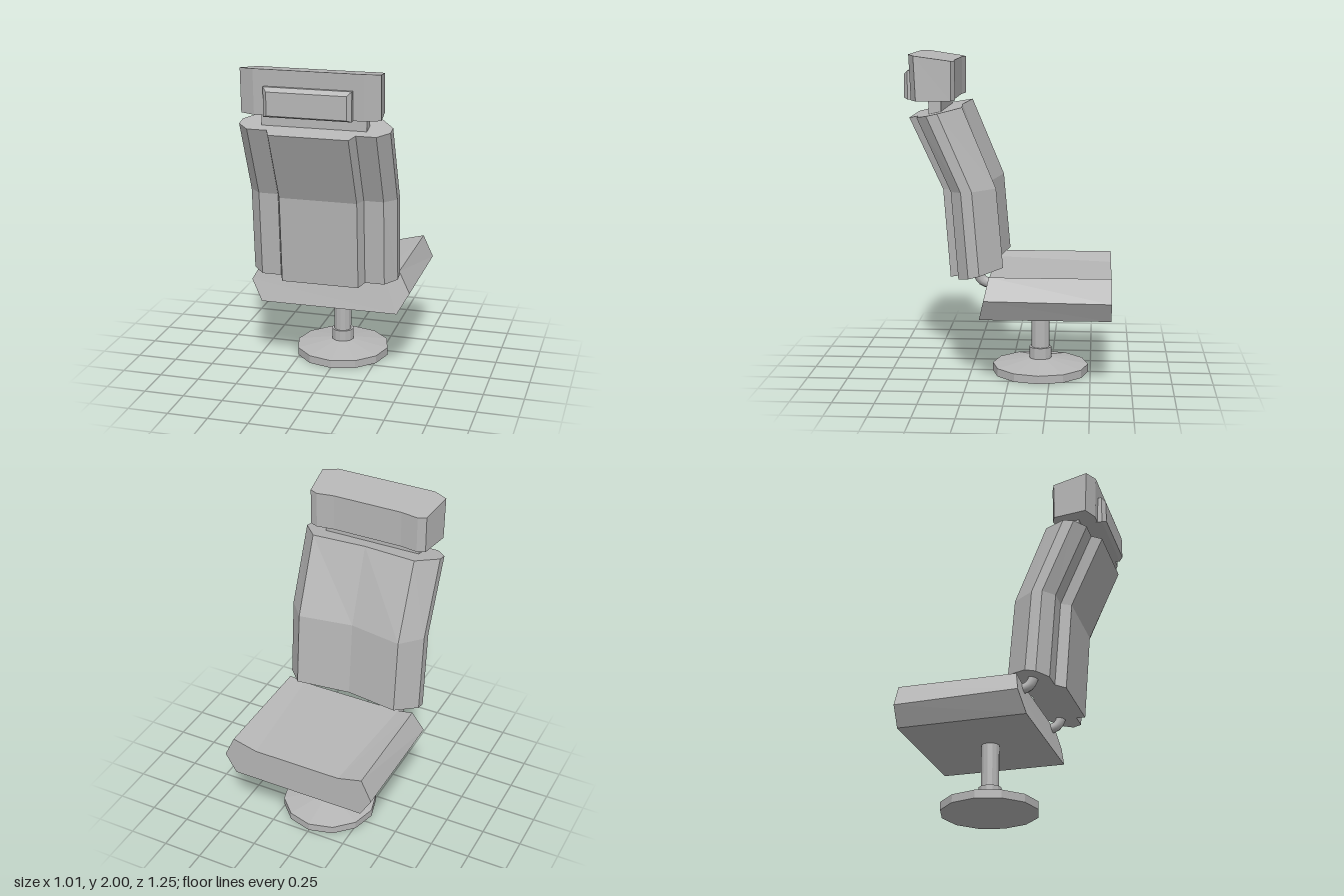
import * as THREE from 'three';

const grey = new THREE.MeshStandardMaterial({ color: 0xb6b6b6 });
grey.name = 'grey';

// Flat-faced solid through closed rings of [x, y, z]; caps are triangulated in the plane of axes a and b
function loft(rings, a, b) {
  const tris = [];
  const n = rings[0].length;
  for (let r = 0; r + 1 < rings.length; r++) {
    for (let i = 0; i < n; i++) {
      const j = (i + 1) % n;
      const p = rings[r][i], q = rings[r][j], s = rings[r + 1][j], t = rings[r + 1][i];
      tris.push([p, q, s], [p, s, t]);
    }
  }
  const first = rings[0], last = rings[rings.length - 1];
  const flat = first.map((p) => new THREE.Vector2(p[a], p[b]));
  const ccw = THREE.ShapeUtils.area(flat) > 0;
  for (const f of THREE.ShapeUtils.triangulateShape(flat, [])) {
    const [i, j, k] = f;
    // Cap winding follows the ring direction
    const turn = THREE.ShapeUtils.area([flat[i], flat[j], flat[k]]) > 0;
    const [u, v] = turn === ccw ? [j, k] : [k, j];
    tris.push([first[i], first[v], first[u]], [last[i], last[u], last[v]]);
  }
  // Turn the solid outward if its volume is negative
  let volume = 0;
  for (const [p, q, s] of tris) {
    volume += new THREE.Vector3(...p).dot(new THREE.Vector3(...q).cross(new THREE.Vector3(...s)));
  }
  const out = volume < 0 ? tris.map(([p, q, s]) => [p, s, q]) : tris;
  const geo = new THREE.BufferGeometry();
  geo.setAttribute('position', new THREE.Float32BufferAttribute(out.flat(2), 3));
  geo.computeVertexNormals();
  return geo;
}

function faceted(geo) {
  const g = geo.toNonIndexed();
  g.computeVertexNormals();
  return g;
}

// Half outline mirrored in x to a closed ring; points on x = 0 are kept once
function mirrored(half) {
  const other = half.filter((p) => p[0] !== 0).reverse().map(([x, ...rest]) => [-x, ...rest]);
  return [...half, ...other];
}

export function createModel() {
  const chair = new THREE.Group();
  chair.name = 'chair';
  const add = (name, geo, x = 0, y = 0, z = 0) => {
    const m = new THREE.Mesh(geo, grey);
    m.name = name;
    m.position.set(x, y, z);
    chair.add(m);
    return m;
  };

  // Round foot and column: [name, top radius, bottom radius, bottom y, top y]
  const stack = [
    ['footRim', 0.3, 0.3, 0, 0.05],
    ['footCone', 0.07, 0.3, 0.05, 0.09],
    ['collar', 0.07, 0.07, 0.08, 0.16],
    ['column', 0.056, 0.056, 0.15, 0.44],
  ];
  for (const [name, rt, rb, y0, y1] of stack) {
    add(name, faceted(new THREE.CylinderGeometry(rt, rb, y1 - y0, 12)), 0, (y0 + y1) / 2, -0.185);
  }

  // Seat cushion with raised side ridges, lofted from front edge to rear
  const seatFront = mirrored([
    [0.43, 0.43, -0.625], [0.5, 0.55, -0.625], [0.435, 0.69, -0.625], [0.28, 0.65, -0.625],
  ]);
  const seatRear = mirrored([
    [0.435, 0.43, 0.165], [0.507, 0.56, 0.133], [0.435, 0.69, 0.105], [0.335, 0.668, 0.11],
  ]);
  add('seat', loft([seatFront, seatRear], 0, 1));

  // Bent backrest: one cross-section at three heights, [y, z, drop, hollow]
  const backSection = [[0.34, 0], [0.453, 0.135], [0.453, 0.2], [0.385, 0.265], [0.265, 0.265], [0.238, 0.327]];
  const backRings = [
    [0.73, 0.026, 0.08, 0.06],
    [1.21, 0.068, 0.02, 0.06],
    [1.69, 0.268, 0.07, 0.03],
  ].map(([y, z, drop, hollow]) =>
    mirrored([[0, hollow], ...backSection].map(([x, s]) => [x, y - (drop * s) / 0.327, z + s])));
  add('backrest', loft(backRings, 0, 2));

  // Curved brackets joining seat and backrest
  for (const side of [1, -1]) {
    const path = new THREE.CatmullRomCurve3([
      [0.18, 0.75], [0.175, 0.69], [0.15, 0.65], [0.11, 0.635], [0.04, 0.63],
    ].map(([z, y]) => new THREE.Vector3(0, y, z)));
    add(side > 0 ? 'leftBracket' : 'rightBracket', new THREE.TubeGeometry(path, 10, 0.032, 8), side * 0.325);
  }

  // Neck plate
  add('neck', new THREE.BoxGeometry(0.63, 0.14, 0.075), 0, 1.68, 0.433);

  // Headrest block with a sloping top
  const headOutline = mirrored([
    [0.225, 0.325], [0.335, 0.31], [0.385, 0.33], [0.415, 0.545], [0.325, 0.585],
  ]);
  const headBottom = headOutline.map(([x, z]) => [x, 1.73, z > 0.5 ? z - 0.012 : z]);
  const headTop = headOutline.map(([x, z]) => [x, 1.96 + ((z - 0.31) / 0.275) * 0.04, z]);
  add('headrest', loft([headBottom, headTop], 0, 2));

  // Bevelled pad on the rear of the headrest
  const padRing = (w, y0, y1, z) => mirrored([[w, y0, z], [w, y1, z]]);
  add('headrestPad', loft([
    padRing(0.26, 1.728, 1.902, 0.56),
    padRing(0.26, 1.728, 1.902, 0.602),
    padRing(0.235, 1.74, 1.878, 0.625),
  ], 0, 1));

  return chair;
}
